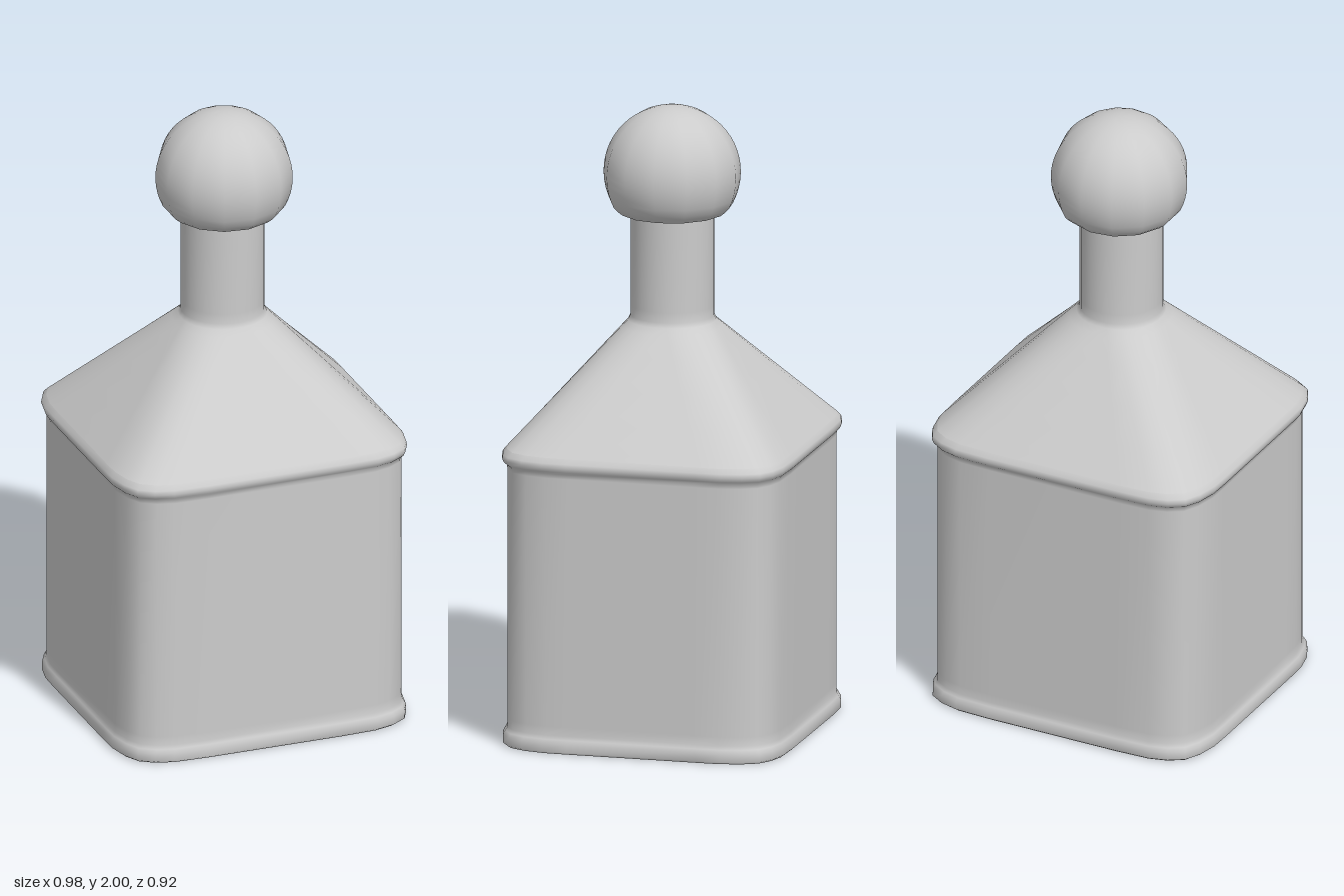
import * as THREE from 'three';
import { toCreasedNormals } from 'three/addons/utils/BufferGeometryUtils.js';

// One quarter of the rounded-square section, on a unit half-width
const CORNER = [[1, 0.46], [0.997, 0.63], [0.967, 0.78], [0.915, 0.89], [0.82, 0.955], [0.7, 0.99], [0.47, 1]];
const NECK_R = 0.132;

// Repeats a quarter outline around all four quadrants, anticlockwise from above
function mirrorQuarter(quarter) {
  const back = [...quarter].reverse();
  return [
    ...quarter.map(([x, z]) => [x, -z]),
    ...back.map(([x, z]) => [-x, -z]),
    ...quarter.map(([x, z]) => [-x, z]),
    ...back.map(([x, z]) => [x, z]),
  ];
}

const squareRing = mirrorQuarter(CORNER);
const roundRing = mirrorQuarter(CORNER.map((_, k) => {
  const a = ((k + 0.5) / CORNER.length) * Math.PI / 2;
  return [Math.cos(a), Math.sin(a)];
}));

// Section with half-width w and depth w - 0.03, blended towards the round neck by t
function section(y, w, t = 0) {
  return squareRing.map(([x, z], i) => [
    THREE.MathUtils.lerp(x * w, roundRing[i][0] * NECK_R - 0.005, t), y,
    THREE.MathUtils.lerp(z * (w - 0.03), roundRing[i][1] * NECK_R, t),
  ]);
}

// Skins a stack of sections with smooth normals
function loft(rings) {
  const n = rings[0].length, index = [];
  for (let r = 0; r < rings.length - 1; r++) {
    for (let j = 0; j < n; j++) {
      const a = r * n + j, b = r * n + (j + 1) % n;
      index.push(a, b, b + n, a, b + n, a + n);
    }
  }
  const g = new THREE.BufferGeometry();
  g.setAttribute('position', new THREE.Float32BufferAttribute(rings.flat(2), 3));
  g.setIndex(index);
  g.computeVertexNormals();
  return g;
}

export function createModel() {
  const group = new THREE.Group();
  const material = new THREE.MeshStandardMaterial({ color: 0xcccccc });
  const add = (name, geometry) => {
    const mesh = new THREE.Mesh(geometry, material);
    mesh.name = name;
    group.add(mesh);
    return mesh;
  };

  // Square body with a rim at the foot and at the shoulder
  add('body', loft([
    section(0.005, 0.482), section(0.012, 0.49), section(0.038, 0.489), section(0.05, 0.483),
    section(0.062, 0.477), section(0.09, 0.477), section(0.89, 0.477), section(0.905, 0.479),
    section(0.913, 0.487), section(0.927, 0.492), section(0.94, 0.49), section(0.955, 0.478),
  ]));

  // Shoulder tapering from the square body into the round neck
  const taper = [0, 0.05, 0.25, 0.5, 0.75, 0.93, 0.98].map(
    (t) => section(0.955 + 0.365 * t, 0.478, t));
  add('shoulderAndNeck', loft([
    ...taper, section(1.328, 0.478, 1), section(1.36, 0.478, 1), section(1.7, 0.478, 1),
  ]));

  // Flat underside
  const base = new THREE.Shape(squareRing.map(([x, z]) => new THREE.Vector2(x * 0.482, z * 0.452)));
  const underside = new THREE.ShapeGeometry(base);
  underside.rotateX(Math.PI / 2);
  underside.translate(0, 0.005, 0);
  add('underside', underside);

  // Ball stopper, cut flat below, with a small bevel at the cut
  const R = 0.217, cy = 1.783;
  const profile = [[0, 1.658], [0.165, 1.658], [0.182, 1.672]];
  for (let i = 0; i <= 18; i++) {
    const a = THREE.MathUtils.lerp(-0.47, Math.PI / 2, i / 18);
    profile.push([Math.max(0, R * Math.cos(a)), cy + R * Math.sin(a)]);
  }
  const ball = new THREE.LatheGeometry(profile.map(([x, y]) => new THREE.Vector2(x, y)), 13);
  ball.rotateY(Math.PI / 2);
  add('stopper', toCreasedNormals(ball, 0.6));

  return group;
}
